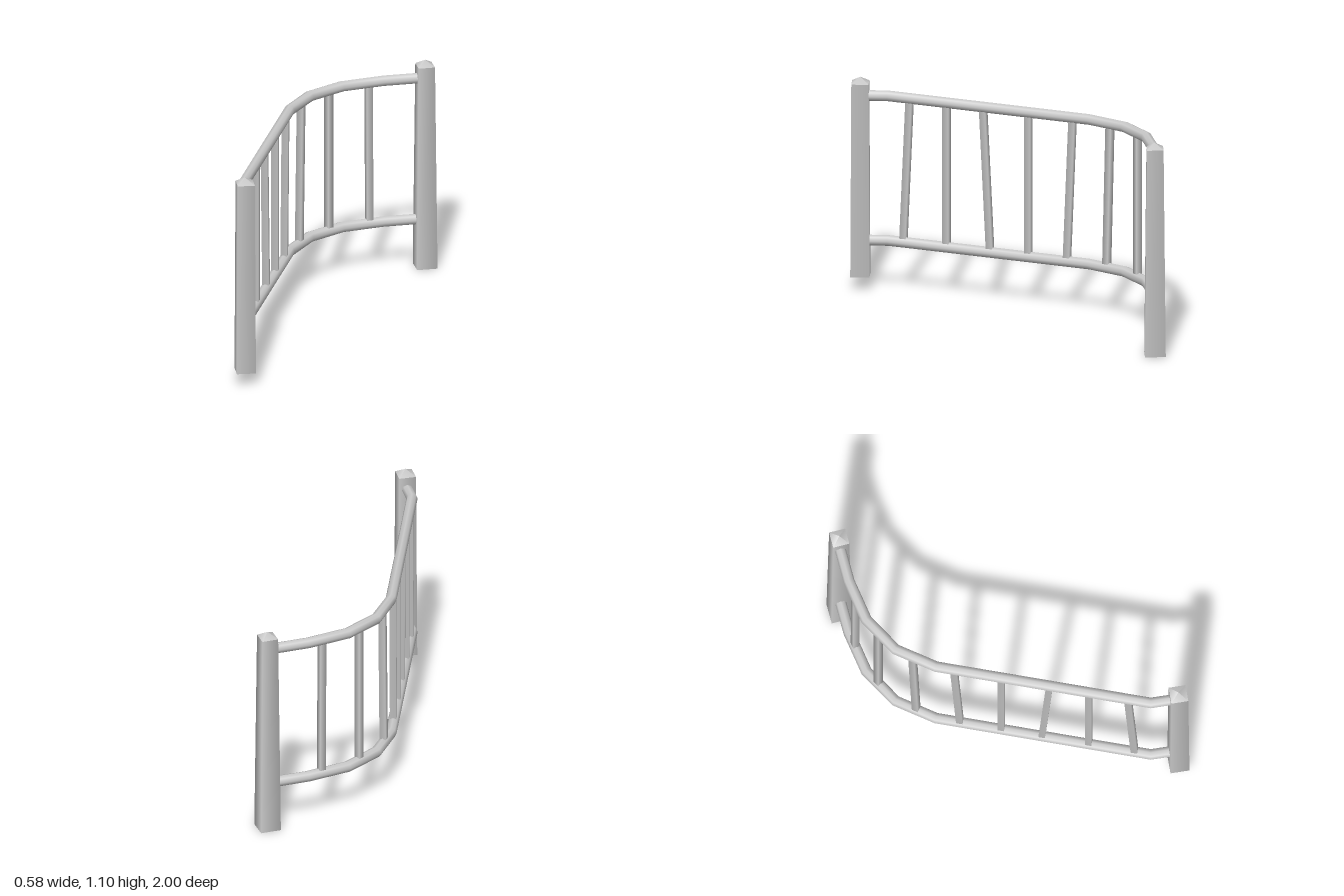
import * as THREE from 'three';

const material = new THREE.MeshStandardMaterial({ color: 0xcccccc, side: THREE.DoubleSide });

// Plan of the fence as [x, z], from the back post to the front post
const path = [
  [0.2, -0.92], [0.04, -0.82], [-0.13, -0.675], [-0.235, -0.49],
  [-0.262, -0.27], [-0.125, 0.81], [-0.075, 0.91],
].map(([x, z]) => new THREE.Vector2(x, z));

function addMesh(parent, geometry, name) {
  const mesh = new THREE.Mesh(geometry, material);
  mesh.name = name;
  parent.add(mesh);
  return mesh;
}

// Tapered square post with a low pyramid top
function makePost(name, x, z, base, bottomSide, topSide, degrees) {
  const post = new THREE.Group();
  post.name = name;
  const shoulder = 1.07, peak = 1.1;
  const shaft = new THREE.CylinderGeometry(
    topSide * Math.SQRT1_2, bottomSide * Math.SQRT1_2, shoulder - base, 4, 1, true);
  shaft.rotateY(Math.PI / 4).translate(0, (base + shoulder) / 2, 0);
  addMesh(post, shaft, name + 'Shaft');
  const cap = new THREE.ConeGeometry(topSide * Math.SQRT1_2, peak - shoulder, 4, 1, true);
  cap.rotateY(Math.PI / 4).translate(0, (shoulder + peak) / 2, 0);
  addMesh(post, cap, name + 'Cap');
  post.position.set(x, 0, z);
  post.rotation.y = THREE.MathUtils.degToRad(degrees);
  return post;
}

// Round rail: a cylinder whose rings are moved to mitred joints along the path
function railGeometry(y, radius) {
  const last = path.length - 1;
  const geometry = new THREE.CylinderGeometry(1, 1, last, 8, last);
  geometry.translate(0, last / 2, 0);
  const dirs = path.slice(1).map((p, i) => p.clone().sub(path[i]).normalize());
  const pos = geometry.attributes.position, normal = geometry.attributes.normal;
  for (let i = 0; i < pos.count; i++) {
    const row = Math.round(pos.getY(i));
    const before = dirs[Math.max(row - 1, 0)], after = dirs[Math.min(row, last - 1)];
    const d = before.clone().add(after).normalize();
    const across = pos.getX(i) * radius / d.dot(after);
    const up = pos.getZ(i) * radius;
    pos.setXYZ(i, path[row].x - d.y * across, y + up, path[row].y + d.x * across);
    const nx = normal.getX(i), ny = normal.getY(i), nz = normal.getZ(i);
    normal.setXYZ(i, -d.y * nx + d.x * ny, nz, d.x * nx + d.y * ny);
  }
  return geometry;
}

// Point and heading of the fence line at a given z
function fenceAt(z) {
  let i = 0;
  while (i < path.length - 2 && path[i + 1].y < z) i++;
  const a = path[i], b = path[i + 1];
  return {
    x: THREE.MathUtils.mapLinear(z, a.y, b.y, a.x, b.x),
    angle: Math.atan2(b.x - a.x, b.y - a.y),
  };
}

// Square bar, sheared so that its ends meet both rails
function balusterGeometry(topZ, bottomZ) {
  const bottomY = 0.265, topY = 0.99, side = 0.033;
  const top = fenceAt(topZ), bottom = fenceAt(bottomZ);
  const geometry = new THREE.CylinderGeometry(
    side * Math.SQRT1_2, side * Math.SQRT1_2, topY - bottomY, 4, 1, true);
  geometry.rotateY(Math.PI / 4 + top.angle).translate(0, (topY + bottomY) / 2, 0);
  const pos = geometry.attributes.position;
  for (let i = 0; i < pos.count; i++) {
    const t = (pos.getY(i) - bottomY) / (topY - bottomY);
    pos.setX(i, pos.getX(i) + THREE.MathUtils.lerp(bottom.x, top.x, t));
    pos.setZ(i, pos.getZ(i) + THREE.MathUtils.lerp(bottomZ, topZ, t));
  }
  return geometry;
}

export function createModel() {
  const fence = new THREE.Group();
  fence.name = 'curvedFence';

  fence.add(makePost('frontPost', -0.064, 0.935, 0.07, 0.096, 0.086, 27));
  fence.add(makePost('backPost', 0.221, -0.928, 0, 0.104, 0.083, 32));

  addMesh(fence, railGeometry(1.003, 0.028), 'topRail');
  addMesh(fence, railGeometry(0.252, 0.028), 'bottomRail');

  // Balusters as [top z, bottom z], some leaning a little
  const balusters = [
    [0.695, 0.728], [0.497, 0.497], [0.3, 0.263], [0.058, 0.058],
    [-0.18, -0.15], [-0.398, -0.378], [-0.6, -0.6], [-0.768, -0.77],
  ];
  balusters.forEach(([top, bottom], i) =>
    addMesh(fence, balusterGeometry(top, bottom), 'baluster' + (i + 1)));

  return fence;
}
